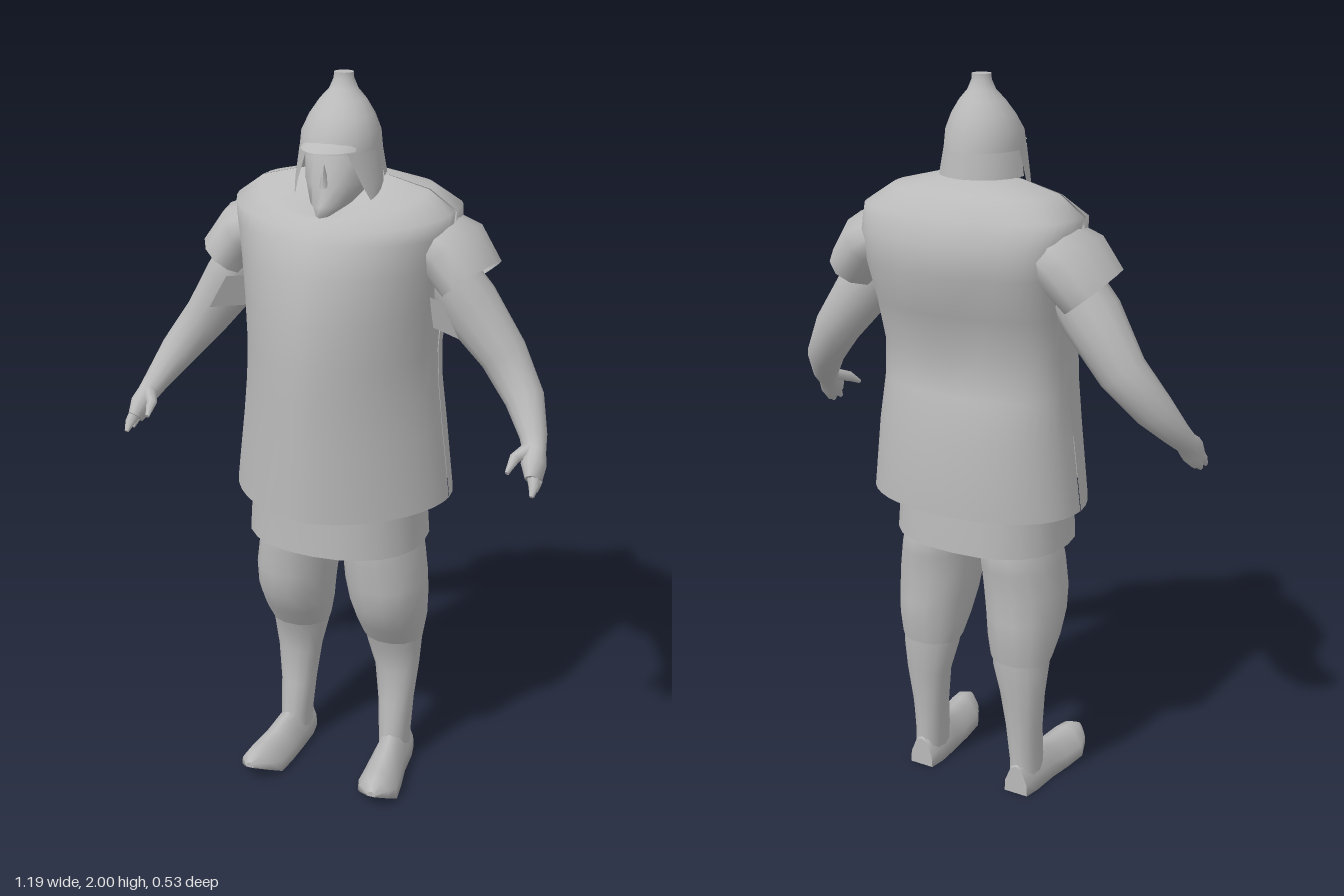
import * as THREE from 'three';

const cloth = new THREE.MeshStandardMaterial({ color: 0xbababa, side: THREE.DoubleSide });
cloth.name = 'plain grey';

// Skin a list of equal-length rings; closed rings wrap, caps fill both ends
function loft(rings, closed = true, cap = false) {
  const n = rings[0].length, pos = rings.flat().flatMap(p => [p.x, p.y, p.z]), idx = [];
  for (let i = 0; i < rings.length - 1; i++) {
    for (let j = 0; j < (closed ? n : n - 1); j++) {
      const k = (j + 1) % n, a = i * n + j, b = i * n + k, c = a + n, d = b + n;
      idx.push(a, c, b, b, c, d);
    }
  }
  if (cap) {
    [0, rings.length - 1].forEach((r, end) => {
      const base = pos.length / 3;
      rings[r].forEach(p => pos.push(p.x, p.y, p.z));
      for (let j = 1; j < n - 1; j++) {
        if (end) idx.push(base, base + j + 1, base + j);
        else idx.push(base, base + j, base + j + 1);
      }
    });
  }
  const g = new THREE.BufferGeometry();
  g.setAttribute('position', new THREE.Float32BufferAttribute(pos, 3));
  g.setIndex(idx);
  g.computeVertexNormals();
  return g;
}

// Horizontal cross-section; front and back have their own exponents, peak ridges the back
function section(y, cx, rx, zf, zb, o = {}) {
  const { from = 0, to = 360, n = 18, ef = 2, eb = 2, cz = (zf + zb) / 2, drop = 0, peak = 0 } = o;
  const full = to - from === 360, pts = [];
  const pw = (v, e) => Math.sign(v) * Math.pow(Math.abs(v), 2 / e);
  for (let i = 0; i < (full ? n : n + 1); i++) {
    const t = THREE.MathUtils.degToRad(from + (to - from) * i / n);
    const s = Math.sin(t), e = s > 0 ? ef : eb, u = pw(Math.cos(t), e);
    const depth = s > 0 ? zf - cz : (cz - zb) * (1 - peak * Math.abs(u));
    pts.push(new THREE.Vector3(cx + rx * u, y - drop * Math.max(0, s), cz + depth * pw(s, e)));
  }
  return pts;
}

// Tube along points [x, y, z, radius, depthRadius]
function limb(path, n = 12, cap = true) {
  const c = path.map(p => new THREE.Vector3(p[0], p[1], p[2]));
  return loft(path.map((p, i) => {
    const T = c[Math.min(i + 1, c.length - 1)].clone().sub(c[Math.max(i - 1, 0)]).normalize();
    const V = new THREE.Vector3(0, 0, 1).addScaledVector(T, -T.z).normalize();
    const U = T.clone().cross(V);
    return Array.from({ length: n }, (_, j) => {
      const t = j / n * Math.PI * 2;
      return c[i].clone().addScaledVector(U, Math.cos(t) * p[3]).addScaledVector(V, Math.sin(t) * (p[4] ?? p[3]));
    });
  }), true, cap);
}

export function createModel() {
  const model = new THREE.Group();
  const add = (name, geo) => {
    const m = new THREE.Mesh(geo, cloth);
    m.name = name;
    model.add(m);
  };
  const addPair = (name, geo) => {
    add('left' + name, geo);
    const g = geo.clone().scale(-1, 1, 1), ix = g.index.array;
    for (let i = 0; i < ix.length; i += 3) [ix[i], ix[i + 1]] = [ix[i + 1], ix[i]];
    g.computeVertexNormals();
    add('right' + name, g);
  };

  // Long tunic: front and back panels with a narrow slit down each side
  // [y, half width, front z, back z, front drop, back exponent, back ridge]
  const tunic = [
    [0.88, 0.305, 0.265, -0.24, 0, 2.3, 0.03], [1.08, 0.28, 0.265, -0.235, 0, 2.4, 0.03],
    [1.2, 0.267, 0.265, -0.2, 0, 2.6, 0.05], [1.3, 0.262, 0.265, -0.185, 0, 3, 0.08],
    [1.42, 0.268, 0.258, -0.225, 0, 3.5, 0.12], [1.53, 0.28, 0.237, -0.268, 0, 4, 0.17],
    [1.61, 0.294, 0.208, -0.262, 0, 4.2, 0.17], [1.67, 0.3, 0.175, -0.235, 0.03, 3.5, 0.15],
    [1.72, 0.23, 0.155, -0.185, 0.055, 3, 0.1], [1.748, 0.12, 0.125, -0.12, 0.083, 2.6, 0],
    [1.748, 0.03, 0.05, -0.07, 0.063, 2.6, 0]];
  const panel = (from, to) => loft(tunic.map(([y, rx, zf, zb, drop, eb, peak]) =>
    section(y, 0, rx, zf, zb, { from, to, n: 20, ef: 1.75, eb, cz: -0.03, drop, peak })), false);
  add('frontTunicPanel', panel(0, 180));
  add('backTunicPanel', panel(180.5, 359.5));

  // Underskirt showing below the tunic
  add('underskirt', loft([[0.755, 0.25, 0.21, -0.192], [0.9, 0.24, 0.205, -0.185],
    [1.2, 0.235, 0.2, -0.16], [1.45, 0.235, 0.18, -0.17]].map(([y, rx, zf, zb]) =>
    section(y, 0, rx, zf, zb, { n: 24, ef: 2.2, eb: 2.4 })), true, true));

  // Short angular sleeves with a loose tab on the inner side
  addPair('Sleeve', limb([[0.235, 1.59, -0.065, 0.075, 0.125], [0.283, 1.562, -0.068, 0.088, 0.142],
    [0.34, 1.49, -0.058, 0.08, 0.13]], 12, false));
  addPair('SleeveTab', loft([
    [new THREE.Vector3(0.25, 1.37, 0.0), new THREE.Vector3(0.35, 1.37, 0.07)],
    [new THREE.Vector3(0.25, 1.46, 0.03), new THREE.Vector3(0.3, 1.46, 0.065)]], false));

  // Bare arms, hands, thumbs and fingers
  addPair('Arm', limb([[0.26, 1.52, -0.05, 0.075], [0.335, 1.425, -0.055, 0.08], [0.43, 1.295, -0.068, 0.064],
    [0.503, 1.195, -0.028, 0.052], [0.545, 1.12, 0.028, 0.036], [0.558, 1.09, 0.06, 0.03],
    [0.564, 1.065, 0.085, 0.032, 0.04], [0.572, 1.035, 0.11, 0.02, 0.035]]));
  addPair('Thumb', limb([[0.546, 1.1, 0.065, 0.02], [0.52, 1.085, 0.11, 0.015], [0.513, 1.06, 0.15, 0.006]], 7));
  [0, 1].forEach(i => addPair('Finger' + (i + 1), limb([[0.57, 1.05 - i * 0.01, 0.11 - i * 0.025, 0.018],
    [0.579, 1.025, 0.13 - i * 0.03, 0.014], [0.58, 1.005, 0.15 - i * 0.035, 0.006]], 7)));

  // Breeches ending in a loose hem under the knee: [y, inner x, outer x, front z, back z]
  const leg = rows => loft(rows.map(([y, x0, x1, zf, zb]) =>
    section(y, (x0 + x1) / 2, (x1 - x0) / 2, zf, zb, { n: 14, ef: 2.1, eb: 2.1 })), true, true);
  addPair('Breeches', leg([[0.42, 0.057, 0.23, 0.024, -0.134], [0.48, 0.044, 0.242, 0.066, -0.145],
    [0.55, 0.034, 0.247, 0.108, -0.15], [0.62, 0.022, 0.248, 0.115, -0.143],
    [0.7, 0.016, 0.236, 0.125, -0.155], [0.75, 0.015, 0.225, 0.126, -0.157],
    [0.82, 0.02, 0.205, 0.12, -0.14]]));
  addPair('Shin', leg([[0.03, 0.115, 0.2, 0.02, -0.105], [0.1, 0.112, 0.2, 0.02, -0.103],
    [0.2, 0.103, 0.205, 0.0, -0.108], [0.31, 0.088, 0.217, -0.008, -0.12],
    [0.39, 0.067, 0.224, 0.012, -0.132], [0.46, 0.06, 0.225, 0.04, -0.135]]));

  // Shoes built from heel to upturned toe: [z, centre x, half width, sole y, top y]
  const shoe = [[-0.108, 0.157, 0.036, 0.003, 0.09], [-0.06, 0.158, 0.046, 0.003, 0.115], [0.02, 0.162, 0.05, 0.003, 0.112],
    [0.09, 0.17, 0.056, 0.003, 0.092], [0.16, 0.178, 0.06, 0.006, 0.088], [0.2, 0.183, 0.045, 0.03, 0.086],
    [0.236, 0.187, 0.012, 0.05, 0.066]];
  addPair('Shoe', loft(shoe.map(([z, x, w, y0, y1]) =>
    [[-1, 0], [1, 0], [0.95, 0.4], [0.5, 0.88], [0, 1], [-0.5, 0.88], [-0.95, 0.4]].map(([u, v]) =>
      new THREE.Vector3(x + u * w, y0 + (y1 - y0) * v, z))), true, true));

  // Head with a tapered bearded chin, and a small nose
  add('head', loft([[1.6, 0.06, 0.08, -0.09], [1.66, 0.025, 0.145, -0.09], [1.69, 0.06, 0.137, -0.09],
    [1.74, 0.084, 0.115, -0.1], [1.8, 0.088, 0.102, -0.1], [1.86, 0.07, 0.075, -0.09]].map(([y, rx, zf, zb]) =>
    section(y, 0, rx, zf, zb, { n: 16, cz: 0 })), true, true));
  add('nose', new THREE.ConeGeometry(0.016, 0.06, 4).translate(0, 1.765, 0.108));

  // Pointed helmet with a hollow rim, neck guard, peak and cheek guards
  add('helmet', loft([[1.815, 0.104, 0.11, -0.122], [1.86, 0.1, 0.1, -0.114], [1.9, 0.083, 0.069, -0.096],
    [1.935, 0.06, 0.038, -0.076], [1.96, 0.037, 0.013, -0.058], [1.985, 0.026, 0.001, -0.048], [2, 0.025, 0.001, -0.048]]
    .map(([y, rx, zf, zb]) => section(y, 0, rx, zf, zb, { n: 16 })), true, false));
  add('helmetTip', new THREE.CircleGeometry(0.025, 16).rotateX(-Math.PI / 2).translate(0, 2, -0.0235));
  add('neckGuard', loft([[1.75, 0.115, 0.11, -0.13], [1.815, 0.104, 0.11, -0.122]].map(([y, rx, zf, zb]) =>
    section(y, 0, rx, zf, zb, { from: 180, to: 360, n: 8 })), false));
  add('helmetPeak', loft([[1.825, 0.085, 0.142, -0.09], [1.845, 0.08, 0.098, -0.09]].map(([y, rx, zf, zb]) =>
    section(y, 0, rx, zf, zb, { from: 30, to: 150, n: 10 })), false));
  addPair('CheekGuard', loft([[1.69, 0.121, 22, 28], [1.74, 0.117, 2, 42], [1.82, 0.104, -5, 58]]
    .map(([y, rx, from, to]) => section(y, 0, rx, 0.11, -0.122, { from, to, n: 6 })), false));

  return model;
}
